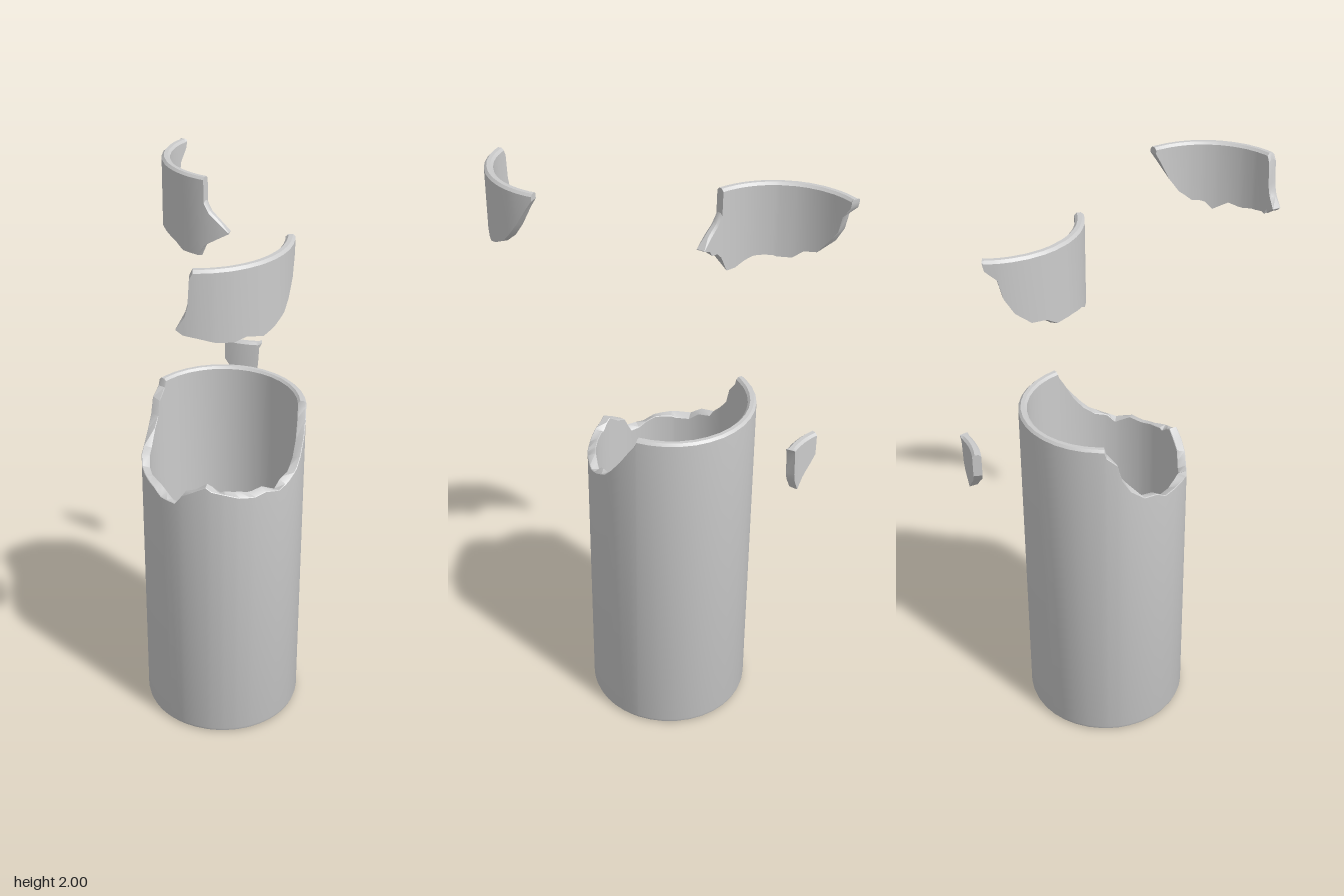
import * as THREE from 'three';
import { toCreasedNormals } from 'three/addons/utils/BufferGeometryUtils.js';

const OUTER = 0.287, INNER = 0.258, RIM = 1.25, FLOOR = 0.03, BEVEL = 0.008;
const CENTRE_Z = -0.078;
const material = new THREE.MeshStandardMaterial({ color: 0xcccccc });

// Break line around the cup: [angle in degrees from the front, height]
const BREAK = [
  [-180, 1.25], [-116.5, 1.25], [-115, 1.22], [-108, 1.19], [-105, 1.13], [-99, 1.08],
  [-89, 1.04], [-79, 1.035], [-71, 1.01], [-57, 1.01], [-44, 1.0], [-36, 0.98],
  [-23, 0.98], [-17, 1.02], [-9, 1.045], [0, 1.07], [4, 1.055], [13, 1.045],
  [23, 1.03], [34, 1.025], [42, 1.035], [54, 1.02], [63.5, 1.035], [74, 1.06],
  [80, 1.09], [88, 1.14], [96, 1.2], [100, 1.228], [101, 1.25], [180, 1.25],
];
// Sides of the V-shaped notch at the front
const LEFT_NOTCH = [[-19, 1.17], [-14, 1.14], [-6, 1.105], [0, 1.072]];
const RIGHT_NOTCH = [[0, 1.072], [5.4, 1.12], [7, 1.15], [8, 1.23], [10, 1.25]];

// Piecewise linear lookup
function sample(line, a) {
  if (a <= line[0][0]) return line[0][1];
  for (let i = 1; i < line.length; i++) {
    const [a0, y0] = line[i - 1], [a1, y1] = line[i];
    if (a <= a1) return y0 + (y1 - y0) * (a - a0) / (a1 - a0);
  }
  return line[line.length - 1][1];
}

// Angles of all the corners plus regular facets between them
function anglesOf(from, to, ...lines) {
  const set = new Set([from, to]);
  lines.flat().forEach(([a]) => { if (a > from && a < to) set.add(a); });
  for (let a = -180; a <= 180; a += 10) {
    if (a > from && a < to && ![...set].some(b => Math.abs(a - b) < 3)) set.add(a);
  }
  return [...set].sort((p, q) => p - q);
}

// Height of the break on the inner face, slightly uneven
function innerBreak(a) {
  const y = sample(BREAK, a);
  return y > 1.2 ? y : y + 0.01 * Math.sin(a * 1.7);
}

// Loft [radius, height] profiles around the axis; closed profiles get end caps
function loft(angles, profileAt, closed) {
  const positions = [], index = [];
  let n = 0;
  angles.forEach(a => {
    const profile = profileAt(a), t = THREE.MathUtils.degToRad(a);
    n = profile.length;
    profile.forEach(([r, y]) => positions.push(r * Math.sin(t), y, r * Math.cos(t)));
  });
  const rows = closed ? n : n - 1;
  for (let i = 0; i < angles.length - 1; i++) {
    for (let j = 0; j < rows; j++) {
      const k = (j + 1) % n;
      const a = i * n + j, b = a + n, c = i * n + k, d = c + n;
      index.push(a, b, c, b, d, c);
    }
  }
  if (closed) {
    const e = (angles.length - 1) * n;
    for (let k = 1; k < n - 1; k++) index.push(0, k, k + 1, e, e + k + 1, e + k);
  }
  const geometry = new THREE.BufferGeometry();
  geometry.setAttribute('position', new THREE.Float32BufferAttribute(positions, 3));
  geometry.setIndex(index);
  return toCreasedNormals(geometry, THREE.MathUtils.degToRad(28));
}

function addPart(group, name, geometry, y, z) {
  const mesh = new THREE.Mesh(geometry, material);
  mesh.name = name;
  mesh.position.set(0, y, CENTRE_Z + z);
  group.add(mesh);
}

// Curved piece of wall between a bottom and a top line
function shard(from, to, bottom, top) {
  return loft(anglesOf(from, to, bottom, top), a => {
    const y1 = sample(top, a), y0 = Math.min(sample(bottom, a), y1);
    const inner = bottom === BREAK ? Math.min(innerBreak(a), y1) : y0;
    const c = Math.min(BEVEL, (y1 - y0) / 3, (y1 - inner) / 3);
    return [
      [OUTER, y0], [OUTER, y1 - c], [OUTER - c, y1],
      [INNER + c, y1], [INNER, y1 - c], [INNER, inner],
    ];
  }, true);
}

export function createModel() {
  const group = new THREE.Group();
  group.name = 'brokenCup';

  // Cup body with base, broken wall, rim and inside floor
  const body = loft(anglesOf(-180, 180, BREAK), a => {
    const y = sample(BREAK, a), yi = innerBreak(a);
    const c = y > 1.24 ? BEVEL : 0.002;
    return [
      [0, 0], [OUTER - 0.016, 0], [OUTER - 0.004, 0.006], [OUTER, 0.018],
      [OUTER, y - c], [OUTER - c, y], [INNER + c, yi], [INNER, yi - c],
      [INNER, FLOOR + 0.012], [INNER - 0.012, FLOOR], [0, FLOOR],
    ];
  }, false);
  addPart(group, 'cupBody', body, 0, 0);

  // Three pieces broken out of the front, floating apart
  const leftTop = [[-18, RIM], ...LEFT_NOTCH.slice(1)];
  leftTop.splice(1, 0, [-17.7, 1.17]);
  addPart(group, 'rightShard', shard(-116, 0, BREAK, leftTop), 0.75, -0.377);
  addPart(group, 'leftShard', shard(0, 100, BREAK, RIGHT_NOTCH), 0.75, 0.376);
  const notch = [...LEFT_NOTCH, ...RIGHT_NOTCH.slice(1)];
  addPart(group, 'smallShard', shard(-19, 10, notch, [[-19, RIM], [10, RIM]]), 0, -0.755);

  return group;
}
